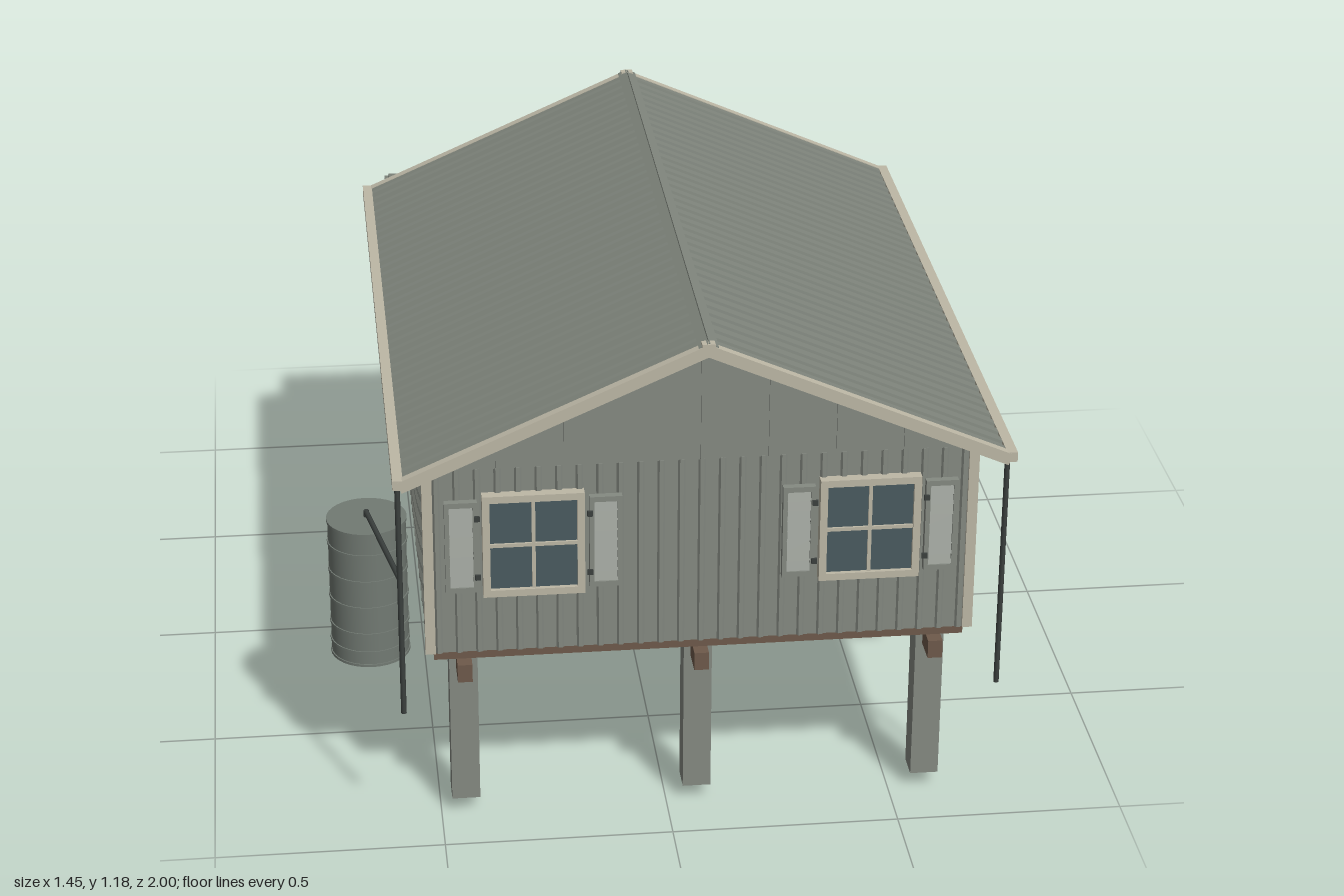
import * as THREE from 'three';

const mat = (name, color) => {
  const m = new THREE.MeshStandardMaterial({ color });
  m.name = name;
  return m;
};

export function createModel() {
  const siding = mat('grey siding', 0x858a82), roofing = mat('roof metal', 0x7f857c);
  const trim = mat('cream trim', 0xbdb8a6), wood = mat('brown wood', 0x6e5a4b);
  const glass = mat('window glass', 0x4a5b60), tankMetal = mat('tank metal', 0x727a73);
  const dark = mat('dark hardware', 0x3b403e);
  const model = new THREE.Group();
  model.name = 'stiltHouse';
  const CX = 0.068; // house centre line

  const add = (parent, name, geo, material, x = 0, y = 0, z = 0) => {
    const m = new THREE.Mesh(geo, material);
    m.name = name;
    m.position.set(x, y, z);
    parent.add(m);
    return m;
  };
  const box = (p, name, material, w, h, d, x, y, z) =>
    add(p, name, new THREE.BoxGeometry(w, h, d), material, x, y, z);
  const group = (p, name, x = 0, y = 0, z = 0, ry = 0) => {
    const g = new THREE.Group();
    g.name = name;
    g.position.set(x, y, z);
    g.rotation.y = ry;
    p.add(g);
    return g;
  };
  // Straight round bar between two points
  const bar = (p, name, material, a, b, r) => {
    const A = new THREE.Vector3(...a), B = new THREE.Vector3(...b);
    const m = add(p, name, new THREE.CylinderGeometry(r, r, A.distanceTo(B), 8), material);
    m.position.copy(A).add(B).multiplyScalar(0.5);
    m.quaternion.setFromUnitVectors(new THREE.Vector3(0, 1, 0), B.sub(A).normalize());
    return m;
  };
  // Sheet with raised ribs: length on x, ribs point to +y and run along z
  const ribbed = (length, run, count, ribW, bevel, height, thick) => {
    const s = new THREE.Shape(), pitch = length / count, h = length / 2;
    s.moveTo(h, 0);
    for (let i = count - 1; i >= 0; i--) {
      const c = -h + (i + 0.5) * pitch, w = ribW / 2;
      s.lineTo(c + w + bevel, 0);
      s.lineTo(c + w, height);
      s.lineTo(c - w, height);
      s.lineTo(c - w - bevel, 0);
    }
    s.lineTo(-h, 0);
    s.lineTo(-h, -thick);
    s.lineTo(h, -thick);
    return new THREE.ExtrudeGeometry(s, { depth: run, bevelEnabled: false }).translate(0, 0, -run / 2);
  };

  // Foundation: floor, beams and piles
  box(model, 'floorSlab', wood, 1.155, 0.023, 1.45, CX, 0.4215, 0.18);
  for (const x of [-0.445, CX, 0.581]) {
    box(model, 'floorBeam', wood, 0.032, 0.042, 1.73, x, 0.389, 0.07);
    for (const z of [0.838, 0.18, -0.478, -0.73])
      box(model, 'pile', siding, 0.062, 0.375, 0.062, x, 0.2225, z);
  }
  const porchX = [-0.48, -0.105, 0.243, 0.618];
  for (const x of porchX) box(model, 'porchPile', siding, 0.045, 0.42, 0.045, x, 0.21, -0.778);

  // Walls: each group faces its own +z
  const wall = (name, x, z, ry, length, count) => {
    const g = group(model, name, x, 0, z, ry);
    add(g, 'ribbedSiding', ribbed(length, 0.44, count, 0.008, 0.004, 0.005, 0.015).rotateX(Math.PI / 2), siding, 0, 0.65, 0);
    return g;
  };
  const front = wall('frontWall', CX, 0.91, 0, 1.175, 27);
  const back = wall('backWall', CX, -0.55, Math.PI, 1.175, 27);
  const right = wall('leftSideWall', 0.655, 0.18, Math.PI / 2, 1.46, 28);
  wall('rightSideWall', -0.519, 0.18, -Math.PI / 2, 1.46, 28);
  for (const x of [-0.517, 0.653])
    for (const z of [0.905, -0.545]) box(model, 'cornerTrim', trim, 0.022, 0.455, 0.022, x, 0.6575, z);

  // Gables with sparse battens
  for (const g of [front, back]) {
    const s = new THREE.Shape([[-0.587, 0.868], [0.587, 0.868], [0, 1.12]].map(p => new THREE.Vector2(...p)));
    add(g, 'gable', new THREE.ExtrudeGeometry(s, { depth: 0.015, bevelEnabled: false }), siding, 0, 0, -0.012);
    for (let i = -3; i <= 3; i++) {
      const top = 1.115 - Math.abs(i) * 0.145 * 0.43;
      box(g, 'gableBatten', siding, 0.008, top - 0.87, 0.005, i * 0.145, (top + 0.87) / 2, 0.005);
    }
  }

  // Windows with louvred shutters
  const windowUnit = (g, x) => {
    const w = group(g, 'window', x, 0.692, 0.008);
    const W = 0.218, H = 0.24, t = 0.016;
    box(w, 'pane', glass, W - t, H - t, 0.008, 0, 0, 0.002);
    for (const s of [-1, 1]) {
      box(w, 'frameSide', trim, t, H, 0.024, s * (W - t) / 2, 0, 0.004);
      box(w, 'frameRail', trim, W, t, 0.024, 0, s * (H - t) / 2, 0.004);
      const sh = group(w, 'shutter', s * 0.154, 0, 0.006);
      box(sh, 'shutterBack', siding, 0.06, 0.205, 0.006, 0, 0, -0.005);
      for (const k of [-1, 1]) {
        box(sh, 'shutterStile', siding, 0.01, 0.215, 0.016, k * 0.03, 0, 0);
        box(sh, 'shutterRail', siding, 0.07, 0.012, 0.016, 0, k * 0.1015, 0);
        box(sh, 'hinge', dark, 0.012, 0.012, 0.006, -s * 0.034, k * 0.07, 0.01);
      }
      for (let i = 0; i < 8; i++)
        box(sh, 'louvre', siding, 0.052, 0.022, 0.004, 0, -0.084 + i * 0.024, 0.002).rotation.x = -0.4;
    }
    box(w, 'mullion', trim, 0.008, H - t, 0.014, 0, 0, 0.004);
    box(w, 'crossbar', trim, W - t, 0.008, 0.014, 0, 0, 0.004);
  };
  for (const x of [-0.361, 0.361]) { windowUnit(front, x); windowUnit(back, x); }
  for (const z of [0.557, -0.05]) windowUnit(right, 0.18 - z);

  // Back door with side lamps
  const door = group(back, 'door', 0, 0, 0.008);
  box(door, 'doorLeaf', siding, 0.16, 0.36, 0.012, 0, 0.613, 0);
  box(door, 'doorGlass', glass, 0.1, 0.1, 0.004, 0, 0.72, 0.007);
  for (const s of [-1, 1]) {
    box(door, 'doorJamb', trim, 0.016, 0.38, 0.022, s * 0.086, 0.623, 0.002);
    box(door, 'doorPanel', wood, 0.045, 0.13, 0.005, s * 0.033, 0.54, 0.007);
    box(door, 'wallLamp', dark, 0.018, 0.035, 0.022, s * 0.13, 0.74, 0.012);
  }
  box(door, 'doorHead', trim, 0.188, 0.016, 0.022, 0, 0.805, 0.002);
  add(door, 'doorKnob', new THREE.SphereGeometry(0.007, 10, 8), dark, 0.065, 0.615, 0.012);

  // Main roof: two ribbed slopes with rake boards and gutters
  const rise = 0.283, run = 0.645, slope = Math.atan2(rise, run), len = Math.hypot(rise, run);
  for (const ry of [0, Math.PI]) {
    const half = group(model, 'roofSlope', CX, 0, 0.1825, ry);
    const sheet = add(half, 'roofSheet', ribbed(1.625, len, 38, 0.02, 0.001, 0.006, 0.008).rotateY(Math.PI / 2),
      roofing, run / 2, 0.882 + rise / 2, 0);
    sheet.rotation.z = -slope;
    for (const z of [-0.808, 0.808])
      box(half, 'rakeBoard', trim, len, 0.026, 0.02, run / 2, 0.876 + rise / 2, z).rotation.z = -slope;
    box(half, 'gutter', trim, 0.022, 0.022, 1.635, run + 0.003, 0.882, 0);
    const cap = box(half, 'ridgeCap', roofing, 0.022, 0.006, 1.63, 0.01, 1.168, 0);
    cap.rotation.z = -slope;
  }
  for (const z of [0.99, -0.625]) box(model, 'ridgeEnd', trim, 0.028, 0.016, 0.021, CX, 1.166, z);

  // Downspouts and rain tank
  for (const x of [-0.58, 0.714]) bar(model, 'downspout', dark, [x, 0.88, 0.96], [x, 0.315, 0.96], 0.006);
  const tank = group(model, 'rainTank', -0.639, 0.465, 0.642);
  add(tank, 'tankBody', new THREE.CylinderGeometry(0.086, 0.086, 0.33, 32), tankMetal);
  for (const y of [-0.162, -0.13, -0.085, -0.02, 0.045, 0.11, 0.162])
    add(tank, 'tankBand', new THREE.CylinderGeometry(0.0885, 0.0885, 0.006, 32), tankMetal, 0, y, 0);
  bar(model, 'fillPipe', dark, [-0.58, 0.641, 0.96], [-0.639, 0.641, 0.642], 0.006);
  bar(model, 'fillInlet', dark, [-0.639, 0.645, 0.642], [-0.639, 0.62, 0.642], 0.006);

  // Porch deck, roof and posts
  for (let i = 0; i < 6; i++)
    box(model, 'deckBoard', wood, 1.155, 0.014, 0.037, CX, 0.417, -0.575 - i * 0.039);
  const pr = add(model, 'porchRoof', ribbed(1.2, 0.236, 28, 0.02, 0.001, 0.005, 0.006), roofing, CX, 0.872, -0.672);
  pr.rotation.x = -0.14;
  box(model, 'porchBeam', trim, 1.13, 0.02, 0.014, CX, 0.842, -0.778);
  for (const x of porchX) box(model, 'porchPost', trim, 0.018, 0.43, 0.018, x, 0.637, -0.778);

  // Porch railings
  const railing = (x, z, length, ry, n) => {
    const g = group(model, 'railing', x, 0, z, ry);
    box(g, 'topRail', trim, length, 0.012, 0.014, 0, 0.578, 0);
    box(g, 'bottomRail', trim, length, 0.01, 0.01, 0, 0.446, 0);
    for (let i = 0; i < n; i++)
      box(g, 'baluster', trim, 0.008, 0.13, 0.008, -length / 2 + (i + 0.5) * length / n, 0.512, 0);
  };
  for (const s of [-1, 1]) {
    railing(CX + s * 0.3615, -0.778, 0.375, 0, 10);
    railing(CX + s * 0.549, -0.668, 0.22, Math.PI / 2, 6);
  }

  // Stairs with stepped stringers and sloping handrails
  const stairs = group(model, 'stairs');
  const step = new THREE.Shape();
  step.moveTo(0.795, 0.3);
  step.lineTo(1.0, 0.3);
  for (let i = 4; i >= 0; i--) {
    step.lineTo(0.795 + (i + 1) * 0.041, 0.402 - i * 0.024);
    step.lineTo(0.795 + i * 0.041, 0.402 - i * 0.024);
  }
  for (const x of [-0.08, 0.195]) {
    const geo = new THREE.ExtrudeGeometry(step, { depth: 0.024, bevelEnabled: false });
    add(stairs, 'stringer', geo.rotateY(Math.PI / 2), wood, x, 0, 0);
  }
  for (let i = 0; i < 5; i++)
    box(stairs, 'tread', wood, 0.325, 0.013, 0.041, 0.068, 0.408 - i * 0.024, -0.8155 - i * 0.041);
  for (const x of [-0.105, 0.243])
    bar(stairs, 'handrail', trim, [x, 0.576, -0.782], [x, 0.45, -0.988], 0.006);

  return model;
}
